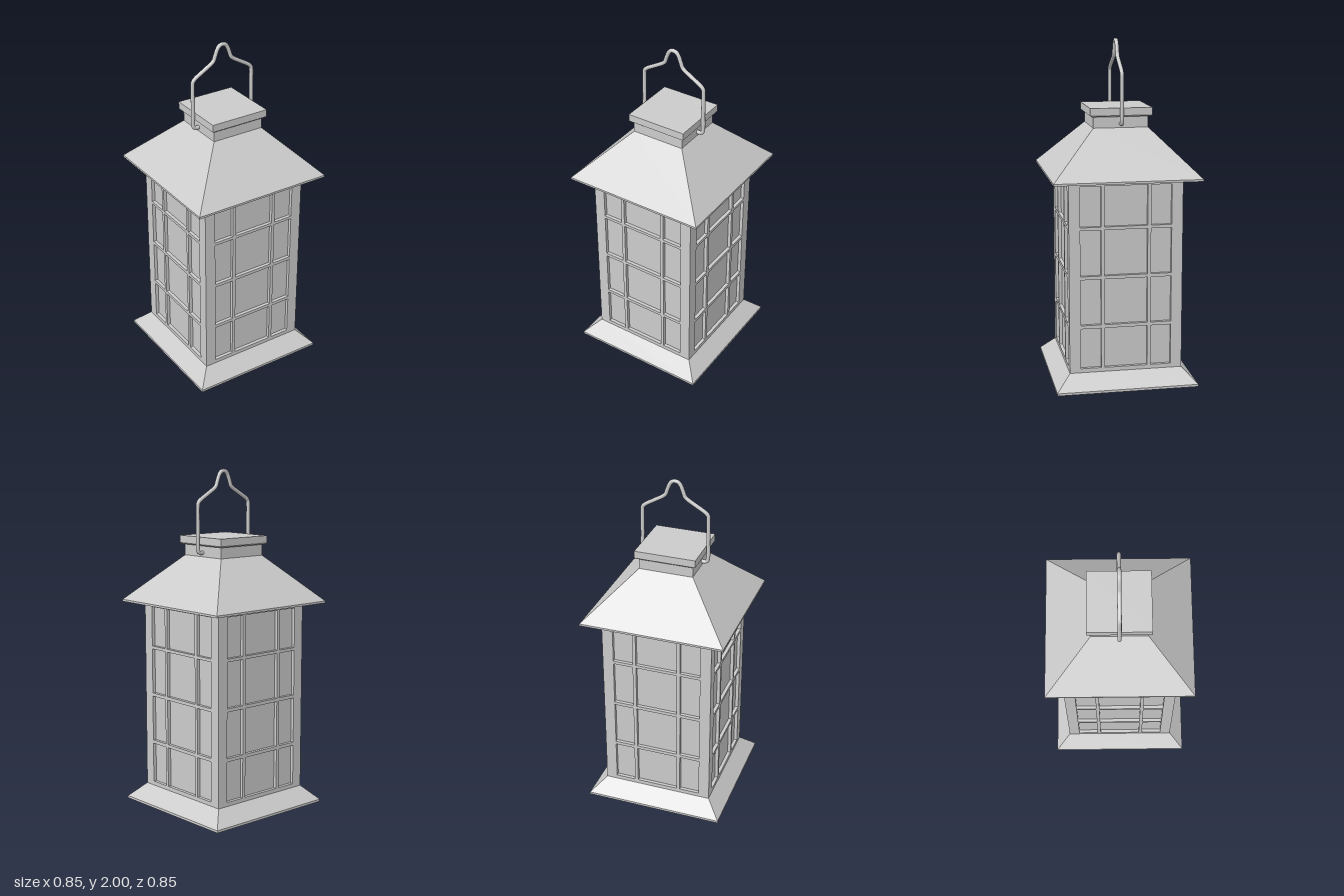
import * as THREE from 'three';

const flat = new THREE.MeshStandardMaterial({ color: 0xcccccc, flatShading: true });
const smooth = new THREE.MeshStandardMaterial({ color: 0xcccccc });

// Square solid from [half width, height] steps, listed bottom to top
function squareLoft(name, steps) {
  const first = steps[0], last = steps[steps.length - 1];
  const profile = [[0, first[1]], ...steps, [0, last[1]]]
    .map(([half, y]) => new THREE.Vector2(half * Math.SQRT2, y));
  const indexed = new THREE.LatheGeometry(profile, 4, Math.PI / 4);
  const geometry = indexed.toNonIndexed();
  geometry.computeVertexNormals();
  const mesh = new THREE.Mesh(geometry, flat);
  mesh.name = name;
  return mesh;
}

function rectangle(Type, x0, x1, y0, y1) {
  return new Type([[x0, y0], [x1, y0], [x1, y1], [x0, y1]].map(p => new THREE.Vector2(...p)));
}

export function createModel() {
  const lantern = new THREE.Group();
  lantern.name = 'lantern';

  // Base, roof and chimney cap
  lantern.add(
    squareLoft('base', [[0.415, 0], [0.415, 0.014], [0.33, 0.1]]),
    squareLoft('roof', [[0.425, 1.22], [0.425, 1.232], [0.16, 1.5]]),
    squareLoft('collar', [[0.16, 1.49], [0.16, 1.57]]),
    squareLoft('cap', [[0.17, 1.564], [0.18, 1.572], [0.18, 1.615]])
  );

  // Inner panes
  const half = 0.33, depth = 0.02, inner = half - depth;
  const panes = new THREE.Mesh(new THREE.BoxGeometry(inner * 2, 1.14, inner * 2), flat);
  panes.name = 'panes';
  panes.position.y = 0.66;
  lantern.add(panes);

  // Window frames: each panel covers one corner, so four close the body
  const columns = [[-0.265, -0.145], [-0.125, 0.125], [0.145, 0.265]];
  const rows = [[0.124, 0.363], [0.383, 0.654], [0.674, 0.942], [0.96, 1.195]];
  const panel = rectangle(THREE.Shape, -half, inner, 0.1, 1.22);
  for (const [x0, x1] of columns) {
    for (const [y0, y1] of rows) panel.holes.push(rectangle(THREE.Path, x0, x1, y0, y1));
  }
  const panelGeometry = new THREE.ExtrudeGeometry(panel, { depth, bevelEnabled: false });
  panelGeometry.translate(0, 0, inner);
  ['front', 'left', 'back', 'right'].forEach((side, i) => {
    const frame = new THREE.Mesh(panelGeometry, flat);
    frame.name = side + 'WindowFrame';
    frame.rotation.y = i * Math.PI / 2;
    lantern.add(frame);
  });

  // Bent wire handle, mirrored about its top
  const halfWire = [
    [0.15, 1.524], [0.178, 1.524], [0.19, 1.528], [0.196, 1.542], [0.196, 1.66], [0.196, 1.79],
    [0.194, 1.808], [0.182, 1.823], [0.12, 1.861], [0.072, 1.89], [0.058, 1.903],
    [0.046, 1.935], [0.03, 1.972], [0.016, 1.986]
  ];
  const wire = [
    ...halfWire.map(([x, y]) => [-x, y]), [0, 1.989], ...halfWire.slice().reverse()
  ].map(([x, y]) => new THREE.Vector3(x, y, 0));
  const path = new THREE.CatmullRomCurve3(wire, false, 'centripetal');
  const handle = new THREE.Mesh(new THREE.TubeGeometry(path, 140, 0.0115, 12), smooth);
  handle.name = 'handle';
  lantern.add(handle);

  return lantern;
}
